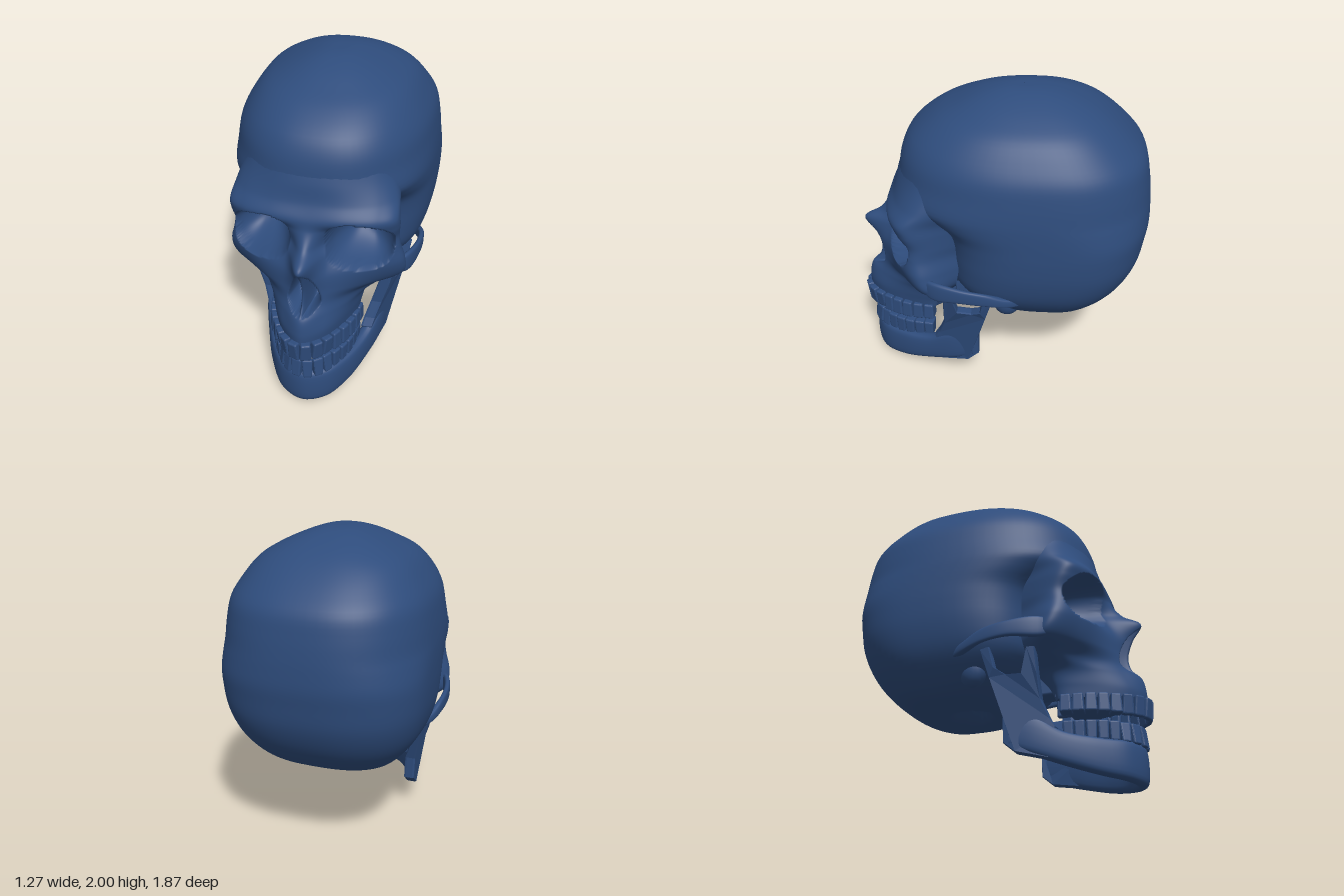
import * as THREE from 'three';
import { RoundedBoxGeometry } from 'three/addons/geometries/RoundedBoxGeometry.js';

const bone = new THREE.MeshStandardMaterial({ color: 0x2e4c7c, side: THREE.DoubleSide });
const V = (x, y, z) => new THREE.Vector3(x, y, z);
const step = THREE.MathUtils.smoothstep;
const lerp = THREE.MathUtils.lerp;
const spow = (v, e) => Math.sign(v) * Math.abs(v) ** e;

function add(parent, name, geometry) {
  const mesh = new THREE.Mesh(geometry, bone);
  mesh.name = name;
  parent.add(mesh);
  return mesh;
}

// Smooth surface through rows of points, with an optional rule that moves each vertex
function skin(rows, nu, nv, closed, deform) {
  const across = rows.map(r => new THREE.CatmullRomCurve3(r, closed));
  const cols = closed ? nu : nu + 1, pos = [], index = [];
  const down = [];
  for (let i = 0; i < cols; i++)
    down.push(new THREE.CatmullRomCurve3(across.map(c => c.getPoint(i / nu))));
  for (let j = 0; j <= nv; j++) for (let i = 0; i < cols; i++) {
    const p = down[i].getPoint(j / nv);
    if (deform) deform(p, i / nu);
    pos.push(p.x, p.y, p.z);
  }
  for (let j = 0; j < nv; j++) for (let i = 0; i < nu; i++) {
    const a = j * cols + i, b = j * cols + (i + 1) % cols;
    index.push(a, a + cols, b, b, a + cols, b + cols);
  }
  const g = new THREE.BufferGeometry();
  g.setAttribute('position', new THREE.Float32BufferAttribute(pos, 3));
  g.setIndex(index);
  g.computeVertexNormals();
  return g;
}

// Upright bar along a path of [x, z, top, bottom, half thickness]
function bar(sections, nv) {
  const rows = sections.map(([x, z, top, bottom, th], k) => {
    const a = sections[Math.max(k - 1, 0)], b = sections[Math.min(k + 1, sections.length - 1)];
    const n = new THREE.Vector2(b[1] - a[1], a[0] - b[0]).normalize();
    return Array.from({ length: 12 }, (_, i) => {
      const t = i / 12 * Math.PI * 2;
      const o = th * spow(Math.cos(t), 0.65), h = spow(Math.sin(t), 0.65);
      return V(x + n.x * o, (top + bottom) / 2 + h * (top - bottom) / 2, z + n.y * o);
    });
  });
  return skin(rows, 24, nv, true);
}

// Braincase: horizontal rings of [y, front z, back z, half width]
function cranium() {
  const rings = [
    [2.0, -0.1395, -0.1405, 0.0005], [1.999, -0.06, -0.22, 0.06], [1.988, 0.02, -0.32, 0.125],
    [1.955, 0.14, -0.44, 0.225], [1.9, 0.27, -0.57, 0.345], [1.83, 0.41, -0.68, 0.455],
    [1.72, 0.545, -0.805, 0.54], [1.62, 0.6, -0.885, 0.593], [1.5, 0.625, -0.915, 0.617],
    [1.38, 0.63, -0.932, 0.63], [1.3, 0.5, -0.938, 0.634], [1.2, 0.36, -0.94, 0.635],
    [1.1, 0.325, -0.927, 0.632], [0.95, 0.315, -0.9, 0.615], [0.8, 0.3, -0.83, 0.57],
    [0.68, 0.19, -0.73, 0.49], [0.6, 0.02, -0.62, 0.4], [0.56, -0.12, -0.48, 0.26],
    [0.556, -0.2495, -0.2505, 0.0005],
  ];
  const rows = rings.map(([y, zf, zb, w]) => {
    const zc = lerp(zb, zf, 0.43), front = lerp(3.2, 2.4, step(y, 1.2, 1.45));
    return Array.from({ length: 32 }, (_, i) => {
      const t = i / 32 * Math.PI * 2, c = Math.cos(t), e = 2 / (c > 0 ? front : 2.5);
      return V(w * spow(Math.sin(t), e), y, zc + (c > 0 ? zf - zc : zc - zb) * spow(c, e));
    });
  });
  // hollow for the spine under the base
  return skin(rows, 80, 72, true, p => {
    if (p.y < 0.68) p.y += 0.08 * (1 - step(Math.hypot(p.x / 0.12, (p.z + 0.22) / 0.14), 0.3, 1));
  });
}

// Face mask: rows of y and five (x, z) points from the middle to the temple
function face() {
  const table = [
    [1.6, 0, 0.59, 0.2, 0.565, 0.37, 0.46, 0.42, 0.36, 0.44, 0.2],
    [1.47, 0, 0.637, 0.2, 0.613, 0.38, 0.52, 0.45, 0.42, 0.46, 0.22],
    [1.36, 0, 0.665, 0.22, 0.65, 0.4, 0.58, 0.485, 0.48, 0.47, 0.25],
    [1.27, 0, 0.71, 0.22, 0.7, 0.4, 0.65, 0.505, 0.56, 0.44, 0.26],
    [1.2, 0, 0.725, 0.16, 0.67, 0.39, 0.64, 0.51, 0.54, 0.43, 0.25],
    [1.11, 0, 0.79, 0.12, 0.66, 0.38, 0.62, 0.505, 0.5, 0.42, 0.24],
    [1.035, 0, 0.9, 0.13, 0.69, 0.37, 0.63, 0.515, 0.5, 0.41, 0.24],
    [0.93, 0, 0.84, 0.13, 0.74, 0.38, 0.63, 0.545, 0.48, 0.42, 0.24],
    [0.82, 0, 0.805, 0.13, 0.75, 0.38, 0.59, 0.54, 0.43, 0.42, 0.26],
    [0.74, 0, 0.82, 0.125, 0.76, 0.32, 0.55, 0.43, 0.4, 0.34, 0.27],
    [0.67, 0, 0.88, 0.13, 0.785, 0.26, 0.6, 0.32, 0.41, 0.27, 0.3],
    [0.58, 0, 0.9, 0.125, 0.82, 0.235, 0.63, 0.285, 0.43, 0.24, 0.37],
    [0.505, 0, 0.9, 0.12, 0.82, 0.225, 0.63, 0.27, 0.43, 0.22, 0.4],
  ];
  const rows = table.map(([y, ...q]) => {
    const row = [];
    for (let k = -4; k <= 4; k++) {
      const m = Math.abs(k) * 2;
      row.push(V(Math.sign(k) * q[m], y, q[m + 1]));
    }
    return row;
  });
  return skin(rows, 144, 120, false, (p, u) => {
    const ax = Math.abs(p.x), side = Math.sign(p.x);
    // eye sockets, narrowing toward the middle as they deepen
    const cy = 1.105 - 0.12 * (ax - 0.3);
    const d = (Math.abs((ax - 0.3) / 0.19) ** 2.7 + Math.abs((p.y - cy) / 0.155) ** 2.7) ** (1 / 2.7);
    if (d < 1 && Math.abs(u - 0.5) < 0.376) {
      const f = (1 - d * d) ** 0.6;
      p.z -= 0.27 * f;
      p.x = side * lerp(ax, 0.25, 0.25 * f);
    }
    // nose opening with a thin wall in the middle
    const t = (1.02 - p.y) / 0.33;
    if (t > 0 && t < 1) {
      const w = 0.115 * Math.min(1, 1.2 * t ** 0.8) * Math.sqrt(1 - t ** 8);
      p.z -= 0.17 * (1 - step(ax / w, 0.6, 1)) * step(ax, 0, 0.045);
    }
  });
}

// Vertical branch of the jaw, cut as a side outline and leaned outward toward the top
function ramus() {
  const outline = [[0.13, 0.23], [0.2, 0.17], [0.38, 0.13], [0.42, 0.31], [0.39, 0.36], [0.35, 0.47],
    [0.345, 0.62], [0.34, 0.77], [0.3, 0.77], [0.26, 0.615], [0.165, 0.615], [0.105, 0.655],
    [0.08, 0.78], [0.03, 0.77], [0.075, 0.6], [0.13, 0.38]];
  const g = new THREE.ExtrudeGeometry(new THREE.Shape(outline.map(a => new THREE.Vector2(...a))), {
    depth: 0.045, bevelEnabled: true, bevelSize: 0.004, bevelThickness: 0.012, bevelSegments: 1,
  });
  g.rotateY(-Math.PI / 2);
  const p = g.attributes.position;
  for (let i = 0; i < p.count; i++) {
    const y = p.getY(i), z = p.getZ(i);
    p.setX(i, p.getX(i) + 0.395 + 0.1 * step(y, 0.3, 0.8) + (z < 0.15 && y > 0.6 ? 0.025 : 0)
      - 0.3 * Math.max(0, z - 0.22));
  }
  g.computeVertexNormals();
  return g;
}

// One row of sixteen teeth; dir is the way the crowns point
function teeth(name, arch, rootY, dir) {
  const group = new THREE.Group();
  group.name = name;
  const pts = [...arch.map(([x, z]) => V(-x, 0, z)), ...arch.slice(0, -1).reverse().map(([x, z]) => V(x, 0, z))];
  const curve = new THREE.CatmullRomCurve3(pts), n = 16, w = curve.getLength() / n;
  for (let i = 0; i < n; i++) {
    const u = (i + 0.5) / n, back = Math.abs(u - 0.5) * 2;
    const h = 0.13 - 0.02 * back;
    const g = new RoundedBoxGeometry(w * 1.02, h, lerp(0.05, 0.09, step(back, 0.2, 0.7)), 2, 0.012);
    const p = g.attributes.position;
    for (let k = 0; k < p.count; k++) {
      const s = p.getY(k) * dir / h + 0.5;
      const thin = back < 0.4 ? 1.2 - 0.6 * s : 0.9 + 0.1 * s;
      p.setXYZ(k, p.getX(k) * (0.85 + 0.15 * s), p.getY(k), p.getZ(k) * thin);
    }
    g.computeVertexNormals();
    const tooth = add(group, 'tooth', g), t = curve.getTangentAt(u);
    tooth.position.copy(curve.getPointAt(u)).setY(rootY + dir * h / 2 + (dir > 0 ? 0.03 * back : 0));
    tooth.rotation.y = Math.atan2(-t.z, t.x);
  }
  return group;
}

export function createModel() {
  const skull = new THREE.Group();
  skull.name = 'skull';
  add(skull, 'cranium', cranium());
  add(skull, 'face', face());

  // underside between face and braincase
  add(skull, 'skullBase', new RoundedBoxGeometry(0.52, 0.3, 0.32, 4, 0.1)).position.set(0, 0.82, 0.26);
  const roof = new THREE.Shape();
  roof.moveTo(-0.25, 0.4).lineTo(0.25, 0.4);
  roof.splineThru([[0.225, 0.6], [0.12, 0.8], [0, 0.87], [-0.12, 0.8], [-0.225, 0.6], [-0.25, 0.4]]
    .map(a => new THREE.Vector2(...a)));
  const palate = new THREE.ExtrudeGeometry(roof, { depth: 0.04, bevelEnabled: false });
  add(skull, 'palate', palate.rotateX(Math.PI / 2)).position.y = 0.57;

  // jaw body, swept from one angle round the chin to the other
  const half = [[0.385, 0.16, 0.39, 0.2, 0.03], [0.355, 0.3, 0.38, 0.145, 0.04], [0.3, 0.45, 0.29, 0.095, 0.045],
    [0.22, 0.64, 0.255, 0.04, 0.045], [0.12, 0.785, 0.25, 0.014, 0.045]];
  const flip = half.map(([x, ...r]) => [-x, ...r]).reverse();
  const jaw = new THREE.Group();
  jaw.name = 'lowerJaw';
  skull.add(jaw);
  add(jaw, 'jawBody', bar([...half, [0, 0.835, 0.25, 0.005, 0.045], ...flip], 60));

  // paired parts
  const cheek = [[0.46, 0.5, 0.9, 0.84, 0.015], [0.545, 0.39, 0.92, 0.79, 0.02], [0.59, 0.22, 0.9, 0.8, 0.018],
    [0.59, 0.06, 0.87, 0.785, 0.018], [0.555, -0.06, 0.82, 0.755, 0.025], [0.5, -0.17, 0.79, 0.74, 0.02]];
  for (const s of [1, -1]) {
    add(skull, 'cheekArch', bar(cheek, 30)).scale.x = s;
    add(jaw, 'jawBranch', ramus()).scale.x = s;
    const mastoid = add(skull, 'boneBehindEar', new THREE.SphereGeometry(1, 20, 14));
    mastoid.scale.set(0.07, 0.11, 0.09);
    mastoid.position.set(0.41 * s, 0.7, -0.06);
    const plate = add(skull, 'palatePlate', new RoundedBoxGeometry(0.04, 0.22, 0.13, 2, 0.015));
    plate.position.set(0.2 * s, 0.67, 0.35);
  }

  skull.add(teeth('upperTeeth', [[0.255, 0.43], [0.23, 0.6], [0.165, 0.76], [0.085, 0.87], [0, 0.905]], 0.525, -1));
  jaw.add(teeth('lowerTeeth', [[0.24, 0.44], [0.21, 0.61], [0.15, 0.75], [0.08, 0.835], [0, 0.86]], 0.225, 1));
  return skull;
}
